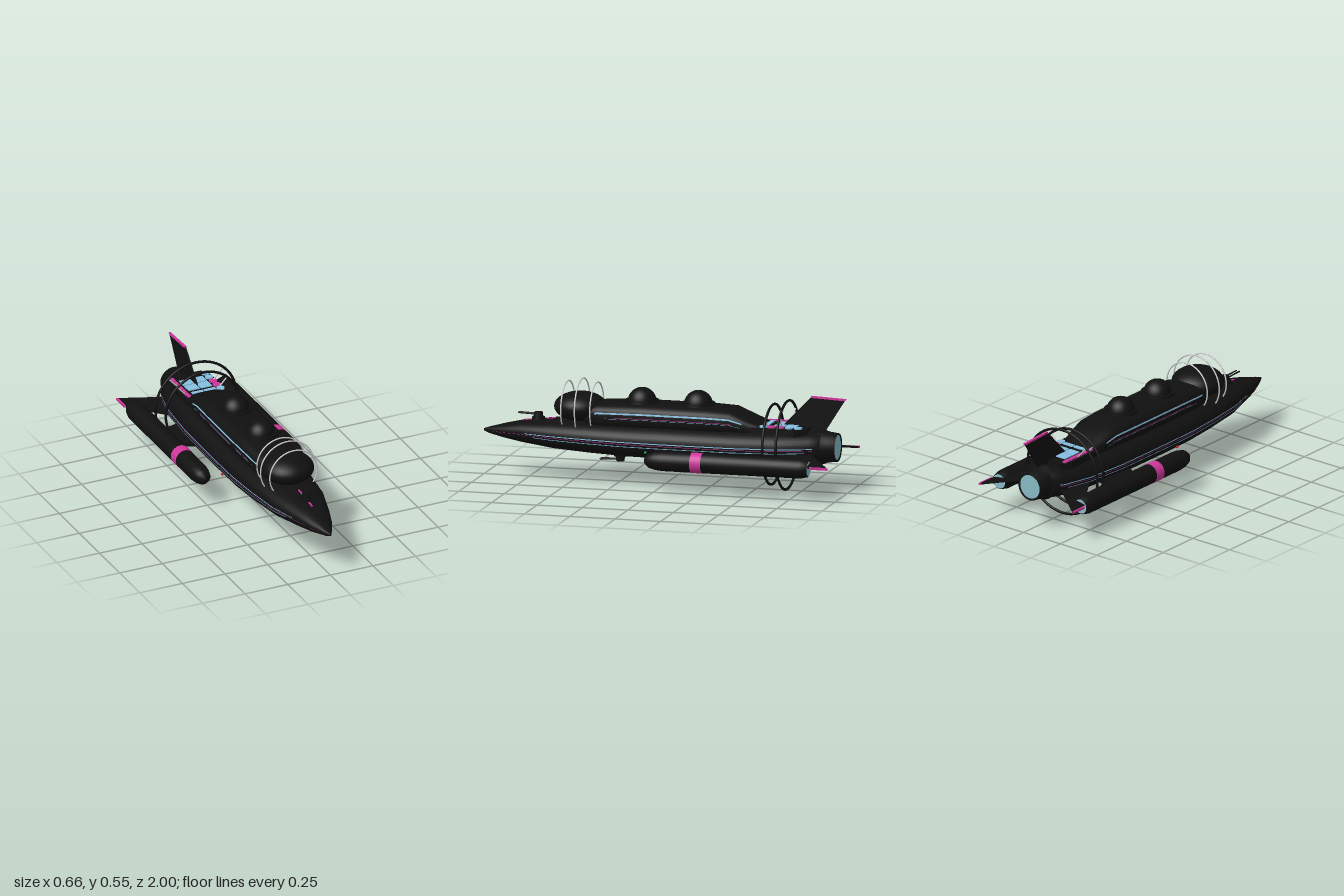
import * as THREE from 'three';

const mat = (c) => new THREE.MeshStandardMaterial({ color: c, side: THREE.DoubleSide });
const BLACK = mat(0x101010), CYAN = mat(0x86bfe0), PINK = mat(0xd0369c), GREY = mat(0xcccccc);
const GLOW = mat(0x86b8c4), RED = mat(0xcc2020), GREEN = mat(0x20b050);

// Cross-sections, front to back: [z, half width, bottom y, top y]
const HULL = [
  [1.0, 0.006, 0.234, 0.246], [0.97, 0.022, 0.222, 0.256], [0.88, 0.065, 0.204, 0.28],
  [0.78, 0.098, 0.188, 0.302], [0.6, 0.15, 0.167, 0.322], [0.4, 0.175, 0.155, 0.331],
  [0.2, 0.19, 0.147, 0.335], [0, 0.192, 0.144, 0.336], [-0.4, 0.19, 0.144, 0.336],
  [-0.65, 0.172, 0.148, 0.336], [-0.82, 0.135, 0.158, 0.335], [-0.87, 0.1, 0.165, 0.328],
];
const CABIN = [
  [0.42, 0.1, 0.3, 0.41], [0.34, 0.128, 0.29, 0.432], [0.1, 0.136, 0.29, 0.44], [-0.25, 0.136, 0.29, 0.44],
  [-0.38, 0.13, 0.29, 0.434], [-0.47, 0.12, 0.29, 0.395], [-0.56, 0.105, 0.29, 0.36],
];

// Point on a superellipse section; grow pushes it off the surface
function sectionPoint([z, rx, lo, hi], a, exp, grow) {
  const f = (v) => Math.sign(v) * Math.abs(v) ** (2 / exp);
  return [(rx + grow) * f(Math.cos(a)), (lo + hi) / 2 + ((hi - lo) / 2 + grow) * f(Math.sin(a)), z];
}

// Skin over sections; a full turn closes and caps it, a partial one makes a stripe
function loft(sections, { exp = 2.4, from = 0, to = 360, n = 40, grow = 0 } = {}) {
  const closed = to - from === 360, cols = closed ? n : n + 1;
  const first = sections[0], last = sections[sections.length - 1];
  const dot = ([z, , lo, hi]) => [z, 0, (lo + hi) / 2, (lo + hi) / 2];
  const rows = closed ? [dot(first), first, ...sections, last, dot(last)] : sections;
  const pos = [], idx = [];
  rows.forEach((s) => {
    for (let j = 0; j < cols; j++) {
      const a = THREE.MathUtils.degToRad(from + ((to - from) * j) / n);
      pos.push(...sectionPoint(s, a, exp, grow));
    }
  });
  for (let i = 0; i < rows.length - 1; i++) for (let j = 0; j < n; j++) {
    const k = (j + 1) % cols, p = i * cols, q = p + cols;
    idx.push(p + j, q + j, p + k, p + k, q + j, q + k);
  }
  const g = new THREE.BufferGeometry();
  g.setAttribute('position', new THREE.Float32BufferAttribute(pos, 3));
  g.setIndex(idx);
  g.computeVertexNormals();
  return g;
}

// Part of a section list between two z values, with interpolated ends
function cut(sections, zFront, zBack) {
  const at = (z) => {
    const i = Math.max(1, sections.findIndex((s) => s[0] <= z));
    const a = sections[i - 1], b = sections[i], t = (a[0] - z) / (a[0] - b[0]);
    return a.map((v, k) => v + (b[k] - v) * t);
  };
  return [at(zFront), ...sections.filter((s) => s[0] < zFront && s[0] > zBack), at(zBack)];
}

function add(parent, name, geo, material, x = 0, y = 0, z = 0) {
  const m = new THREE.Mesh(geo, material);
  m.name = name;
  m.position.set(x, y, z);
  parent.add(m);
  return m;
}

function rod(parent, name, a, b, r, material) {
  const path = new THREE.LineCurve3(new THREE.Vector3(...a), new THREE.Vector3(...b));
  return add(parent, name, new THREE.TubeGeometry(path, 1, r, 8), material);
}

const box = (w, h, d) => new THREE.BoxGeometry(w, h, d);
const lathe = (pts, n = 28) => new THREE.LatheGeometry(pts.map((p) => new THREE.Vector2(...p)), n);

// Thin plate from [span, z] corners, centred on its thickness; span runs along +x
function plate(corners, t) {
  const shape = new THREE.Shape(corners.map(([s, z]) => new THREE.Vector2(s, z)));
  const g = new THREE.ExtrudeGeometry(shape, { depth: t, bevelEnabled: false });
  return g.translate(0, 0, -t / 2).rotateX(Math.PI / 2);
}

function turret(parent, name, y, z, up, dir) {
  const g = new THREE.Group();
  g.name = name;
  g.position.set(0, y, z);
  g.scale.set(1, up, dir);
  add(g, 'turretBase', new THREE.CylinderGeometry(0.034, 0.036, 0.014, 16), BLACK, 0, 0.005, 0);
  add(g, 'turretHead', new THREE.CylinderGeometry(0.022, 0.026, 0.028, 12), BLACK, 0, 0.024, 0);
  for (const x of [-0.01, 0.01]) rod(g, 'barrel', [x, 0.026, 0], [x, 0.03, 0.11], 0.004, BLACK);
  parent.add(g);
}

export function createModel() {
  const ship = new THREE.Group();
  ship.name = 'ship';

  // Hull, cabin and aft deck
  add(ship, 'hull', loft(HULL), BLACK);
  add(ship, 'cabin', loft(CABIN, { exp: 3 }), BLACK);
  add(ship, 'aftDeck', plate([[-0.12, -0.5], [0.12, -0.5], [0.12, -0.74], [0.09, -0.8], [-0.09, -0.8], [-0.12, -0.74]], 0.06),
    BLACK, 0, 0.321, 0);

  // Side stripes: [sections, front z, back z, from angle, to angle, material, exponent]
  const stripes = [
    [HULL, 0.75, -0.84, 1.2, 3.4, CYAN, 2.4], [HULL, 0.94, -0.84, -1.6, -0.7, PINK, 2.4],
    [HULL, 0.7, -0.8, -8, -6, CYAN, 2.4], [CABIN, 0.36, -0.45, 8, 14, CYAN, 3],
    [CABIN, 0.25, -0.4, 0.1, 0.6, PINK, 3], [CABIN, 0.3, -0.44, -0.9, -0.4, CYAN, 3],
  ];
  for (const [sec, z0, z1, a, b, m, exp] of stripes) for (const side of [0, 1]) {
    const [from, to] = side ? [180 - b, 180 - a] : [a, b];
    add(ship, 'sideStripe', loft(cut(sec, z0, z1), { exp, from, to, n: 3, grow: 0.002 }), m);
  }

  // Front canopy with three hoops
  const canopy = add(ship, 'canopy', new THREE.SphereGeometry(1, 36, 20), BLACK, 0, 0.395, 0.47);
  canopy.scale.set(0.14, 0.078, 0.14);
  for (const [z, r] of [[0.54, 0.138], [0.46, 0.155], [0.38, 0.138]]) {
    const arc = new THREE.TorusGeometry(r, 0.004, 8, 40, Math.PI * 1.36).rotateZ(-Math.PI * 0.18);
    add(ship, 'canopyHoop', arc, GREY, 0, 0.388, z);
  }

  // Roof domes
  for (const z of [0.13, -0.18]) {
    add(ship, 'roofDome', new THREE.SphereGeometry(0.077, 28, 10, 0, Math.PI * 2, 0, Math.PI / 2), BLACK, 0, 0.437, z);
    add(ship, 'domeRim', new THREE.CylinderGeometry(0.09, 0.092, 0.014, 28), BLACK, 0, 0.441, z);
  }

  // Aft deck panels
  for (const x of [-0.036, 0.036]) {
    for (const z of [-0.705, -0.64]) add(ship, 'deckPanel', box(0.065, 0.006, 0.058), CYAN, x, 0.353, z);
    add(ship, 'deckPanel', box(0.065, 0.006, 0.024), CYAN, x, 0.357, -0.572);
  }
  [-0.755, -0.706, -0.657, -0.61, -0.565].forEach((z, i) => {
    add(ship, 'deckDisc', new THREE.CylinderGeometry(0.022, 0.022, 0.008, 20), i === 2 || i === 3 ? PINK : CYAN, 0.095, 0.356, z);
    add(ship, 'deckBar', box(0.02, 0.008, 0.042), PINK, -0.095, 0.355, z);
  });

  // Nose marks, turrets
  for (const z of [0.75, 0.63]) {
    const y = z > 0.7 ? 0.307 : 0.32;
    add(ship, 'noseMark', box(0.008, 0.006, 0.05), PINK, 0, y, z).rotation.x = 0.11;
  }
  turret(ship, 'noseTurret', 0.313, 0.7, 1, 1);
  turret(ship, 'bellyTurretFront', 0.147, 0.25, -1, 1);
  turret(ship, 'bellyTurretRear', 0.146, -0.37, -1, -1);

  // Main nozzle
  const nozzle = lathe([[0.066, -0.946], [0.076, -0.95], [0.082, -0.9], [0.1, -0.85]], 32).rotateX(Math.PI / 2);
  add(ship, 'mainNozzle', nozzle, BLACK, 0, 0.245, 0);
  add(ship, 'mainNozzleGlow', new THREE.CircleGeometry(0.07, 32).rotateY(Math.PI), GLOW, 0, 0.245, -0.946);

  // Tail rings and their diagonal struts
  for (const [z, r] of [[-0.59, 0.214], [-0.67, 0.237]]) {
    add(ship, 'tailRing', new THREE.TorusGeometry(r, 0.007, 10, 56), BLACK, 0, 0.244, z);
    for (const sx of [-1, 1]) for (const sy of [-1, 1]) {
      const p = (d) => [sx * d * 0.68, 0.244 + sy * d * 0.733, z];
      rod(ship, 'ringStrut', p(0.1), p(r), 0.004, GREY);
    }
  }

  // Upright tail fin with coloured tip
  const finCorners = [[0.3, -0.6], [0.51, -0.8], [0.506, -0.99], [0.3, -0.86]];
  add(ship, 'tailFin', plate(finCorners, 0.01).rotateZ(Math.PI / 2), BLACK);
  add(ship, 'tailFinTip', plate([[0.506, -0.8], [0.516, -0.8], [0.508, -0.995], [0.498, -0.988]], 0.012).rotateZ(Math.PI / 2), PINK);

  // Engine pods, pylons and side fins, mirrored
  const podShape = [[0.036, -0.862], [0.044, -0.86], [0.053, -0.82], [0.053, -0.06], [0.049, -0.02], [0.039, 0.015], [0.022, 0.036], [0, 0.043]];
  for (const s of [-1, 1]) {
    const g = new THREE.Group();
    g.name = s > 0 ? 'leftEngine' : 'rightEngine';
    add(g, 'pod', lathe(podShape).rotateX(Math.PI / 2), BLACK, s * 0.277, 0.177, 0);
    add(g, 'podBand', new THREE.CylinderGeometry(0.0545, 0.0545, 0.06, 28).rotateX(Math.PI / 2), PINK, s * 0.277, 0.177, -0.25);
    add(g, 'podGlow', new THREE.CircleGeometry(0.04, 28).rotateY(Math.PI), GLOW, s * 0.277, 0.177, -0.863);
    const span = (pts) => pts.map(([x, z]) => [s * x, z]);
    const tilt = -s * 0.16;
    add(g, 'pylon', plate(span([[0.1, -0.26], [0.26, -0.38], [0.26, -0.56], [0.1, -0.56]]), 0.018), BLACK, 0, 0.222, 0).rotation.z = tilt;
    add(g, 'sideFin', plate(span([[0.08, -0.58], [0.16, -0.64], [0.32, -0.88], [0.32, -0.975], [0.155, -0.855], [0.08, -0.82]]), 0.01),
      BLACK, 0, 0.24, 0).rotation.z = tilt;
    add(g, 'sideFinTip', plate(span([[0.317, -0.875], [0.326, -0.885], [0.326, -0.98], [0.317, -0.973]]), 0.012),
      PINK, 0, 0.24, 0).rotation.z = tilt;
    add(g, 'navLight', box(0.008, 0.01, 0.012), s > 0 ? GREEN : RED, s * 0.191, 0.2, 0.06);
    ship.add(g);
  }
  return ship;
}
